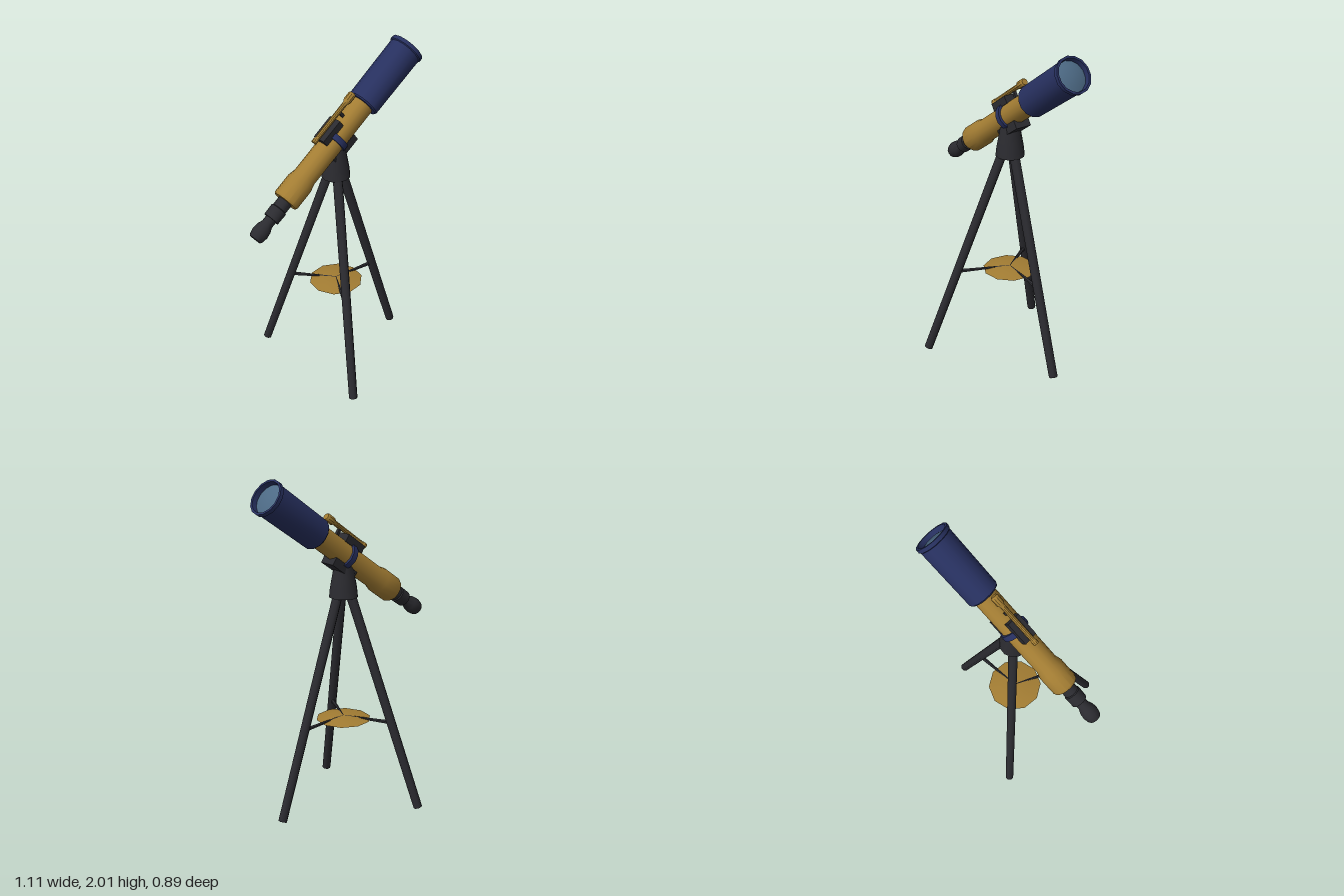
import * as THREE from 'three';
import { toCreasedNormals } from 'three/addons/utils/BufferGeometryUtils.js';

const mat = (color) => new THREE.MeshStandardMaterial({ color });
const gold = mat(0xa37d33), black = mat(0x2b2b30), navy = mat(0x27305f), glass = mat(0x4d6a85);

const vec = (x, y, z) => new THREE.Vector3(x, y, z);

function add(parent, name, geometry, material, position) {
  const mesh = new THREE.Mesh(geometry, material);
  mesh.name = name;
  if (position) mesh.position.copy(position);
  parent.add(mesh);
  return mesh;
}

// Turned part around the local y axis; points are [radius, y], from bottom to top
function turned(points, sides = 14) {
  const profile = points.map(([r, y]) => new THREE.Vector2(r, y));
  return toCreasedNormals(new THREE.LatheGeometry(profile, sides), 0.6);
}

// Tapered rod from a to b
function rod(parent, name, a, b, rA, rB, sides, material) {
  const dir = b.clone().sub(a);
  const geometry = toCreasedNormals(new THREE.CylinderGeometry(rB, rA, dir.length(), sides), 0.9);
  const mesh = add(parent, name, geometry, material, a.clone().lerp(b, 0.5));
  mesh.quaternion.setFromUnitVectors(vec(0, 1, 0), dir.normalize());
  return mesh;
}

function buildTripod() {
  const tripod = new THREE.Group();
  tripod.name = 'tripod';
  add(tripod, 'hub', turned([[0, 1.28], [0.085, 1.28], [0.08, 1.33], [0.055, 1.47], [0, 1.47]], 12),
    black, vec(0, 0, -0.08));

  // Legs, each with a spoke to the tray
  const trayCentre = vec(0, 0.537, -0.083);
  const legs = [
    ['frontLeg', vec(-0.01, 0.008, 0.422), vec(0, 1.32, -0.045)],
    ['rightLeg', vec(-0.408, 0.008, -0.288), vec(-0.03, 1.32, -0.095)],
    ['leftLeg', vec(0.412, 0.008, -0.288), vec(0.03, 1.32, -0.095)],
  ];
  for (const [name, foot, top] of legs) {
    rod(tripod, name, foot, top, 0.026, 0.029, 8, black);
    const joint = foot.clone().lerp(top, 0.4);
    rod(tripod, name + 'Spoke', joint, trayCentre.clone().setY(0.552), 0.013, 0.004, 6, black);
  }

  // Lens-shaped tray with ten sides
  const tray = add(tripod, 'tray',
    turned([[0, -0.018], [0.09, -0.013], [0.162, 0], [0.09, 0.013], [0, 0.018]], 10), gold, trayCentre);
  tray.rotation.y = Math.PI / 2;
  return tripod;
}

function buildTelescope() {
  // Local y runs along the optical axis, local z points up from the tube
  const telescope = new THREE.Group();
  telescope.name = 'telescope';
  const axis = vec(0.717, 0.581, -0.385).normalize();
  const up = vec(0, 1, 0).addScaledVector(axis, -axis.y).normalize();
  const side = axis.clone().cross(up);
  telescope.quaternion.setFromRotationMatrix(new THREE.Matrix4().makeBasis(side, axis, up));
  telescope.position.set(-0.009, 1.518, -0.077);

  // Eyepiece and focuser
  add(telescope, 'eyepiece', turned([[0, -0.725], [0.036, -0.725], [0.043, -0.715], [0.05, -0.68],
    [0.046, -0.645], [0.034, -0.615], [0.034, -0.56]]), black);
  add(telescope, 'focuser', turned([[0, -0.58], [0.048, -0.58], [0.05, -0.51], [0.044, -0.505],
    [0.044, -0.44]]), black);

  // Main tube with a wider rear collar
  add(telescope, 'mainTube', turned([[0, -0.452], [0.074, -0.452], [0.08, -0.44], [0.08, -0.32],
    [0.069, -0.275], [0.069, 0.28]]), gold);

  // Dew shield with a lip, open at the front
  add(telescope, 'dewShield', turned([[0, 0.26], [0.09, 0.26], [0.096, 0.268], [0.1, 0.66],
    [0.107, 0.665], [0.107, 0.688], [0.094, 0.688], [0.09, 0.655]]), navy);
  add(telescope, 'objectiveLens', turned([[0.092, 0.657], [0.06, 0.668], [0, 0.673]]), glass);

  // Clamp ring and saddle
  add(telescope, 'clampRing', turned([[0.066, -0.018], [0.083, -0.018], [0.083, 0.018], [0.066, 0.018]]), navy);
  add(telescope, 'saddle', new THREE.BoxGeometry(0.1, 0.19, 0.05), black, vec(0, 0, -0.075));

  // Finder scope on its bracket
  add(telescope, 'finderBracket', new THREE.BoxGeometry(0.085, 0.15, 0.045), black, vec(0, 0.005, 0.08));
  add(telescope, 'finderPost', new THREE.BoxGeometry(0.018, 0.018, 0.06), black, vec(0, 0.125, 0.085));
  add(telescope, 'finderScope', turned([[0, -0.105], [0.017, -0.105], [0.017, -0.085], [0.014, -0.08],
    [0.015, 0.185], [0.024, 0.2], [0.024, 0.245], [0.018, 0.255], [0, 0.255]], 10), gold, vec(0, 0, 0.116));
  return telescope;
}

export function createModel() {
  const model = new THREE.Group();
  model.name = 'telescopeOnTripod';
  model.add(buildTripod(), buildTelescope());
  return model;
}
